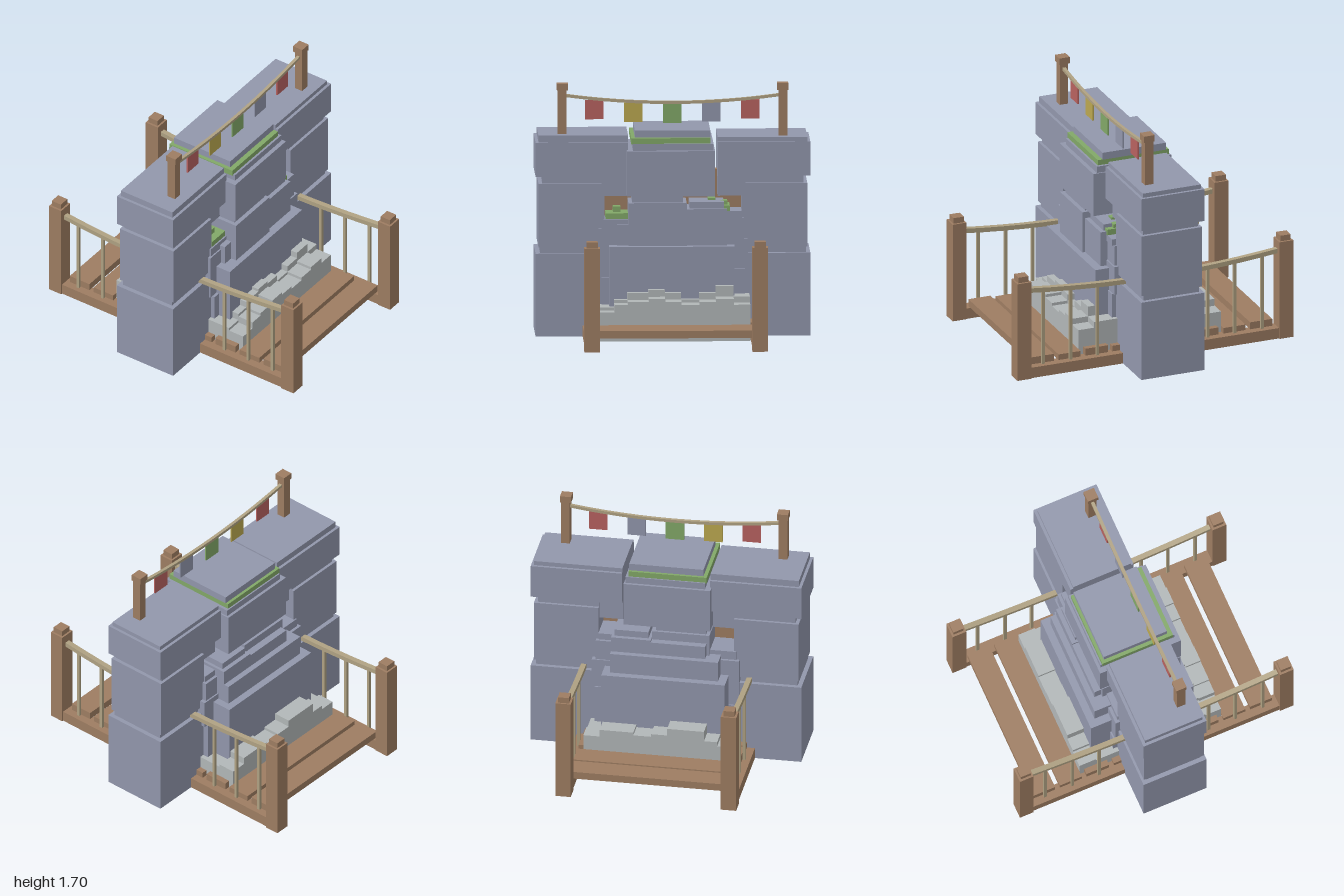
import * as THREE from 'three';

const mat = (name, color) => {
  const m = new THREE.MeshStandardMaterial({ color });
  m.name = name;
  return m;
};

export function createModel() {
  const stone = mat('blue grey stone', 0x9297ac);
  const wood = mat('brown wood', 0x9e7d62);
  const rubbleGrey = mat('pale rubble', 0xb2b7b8);
  const pale = mat('pale rope wood', 0xb0a283);
  const moss = mat('moss green', 0x82a868);
  const red = mat('red cloth', 0xb86260);
  const yellow = mat('yellow cloth', 0xbba850);

  const model = new THREE.Group();
  const group = (name) => {
    const g = new THREE.Group();
    g.name = name;
    model.add(g);
    return g;
  };
  // Box given by its extents on each axis
  const box = (parent, name, material, x0, x1, y0, y1, z0, z1) => {
    const mesh = new THREE.Mesh(new THREE.BoxGeometry(x1 - x0, y1 - y0, z1 - z0), material);
    mesh.position.set((x0 + x1) / 2, (y0 + y1) / 2, (z0 + z1) / 2);
    mesh.name = name;
    parent.add(mesh);
    return mesh;
  };
  // Square bar between two points
  const bar = (parent, name, material, a, b, w, h) => {
    const length = a.distanceTo(b) + 0.006;
    const mesh = new THREE.Mesh(new THREE.BoxGeometry(w, h, length), material);
    mesh.position.copy(a).add(b).multiplyScalar(0.5);
    mesh.lookAt(b);
    mesh.name = name;
    parent.add(mesh);
  };
  // Box mirrored across x
  const boxPair = (parent, name, material, x0, x1, ...rest) => {
    box(parent, name, material, x0, x1, ...rest);
    box(parent, name, material, -x1, -x0, ...rest);
  };

  // Gate pillars: stacked blocks around a recessed core
  const pillars = group('pillars');
  boxPair(pillars, 'lowerBlock', stone, 0.46, 0.92, 0, 0.56, -0.23, 0.23);
  boxPair(pillars, 'lowerJoint', stone, 0.48, 0.89, 0.56, 0.6, -0.2, 0.2);
  boxPair(pillars, 'middleBlock', stone, 0.46, 0.9, 0.6, 1.03, -0.22, 0.22);
  boxPair(pillars, 'upperJoint', stone, 0.46, 0.875, 1.03, 1.08, -0.2, 0.2);
  boxPair(pillars, 'upperBlock', stone, 0.3, 0.92, 1.08, 1.31, -0.23, 0.23);
  box(pillars, 'leftCapSlab', stone, 0.3, 0.9, 1.31, 1.34, -0.21, 0.21);
  box(pillars, 'rightCapSlab', stone, -0.9, -0.3, 1.31, 1.355, -0.21, 0.21);

  // Wooden gate and short lintels in the opening
  const gate = group('gate');
  box(gate, 'gatePanel', wood, -0.47, 0.47, 0.02, 1.1, -0.04, 0.04);
  boxPair(gate, 'lintel', stone, 0.3, 0.47, 0.94, 1.09, -0.18, 0.18);

  // Fallen boulders blocking the gate
  const boulders = group('boulders');
  [
    [-0.43, 0.41, 0, 0.62, -0.4, 0.35],
    [-0.375, 0.36, 0.62, 0.76, -0.35, 0.27],
    [-0.3, 0.09, 0.62, 0.91, -0.26, 0.31],
    [0.09, 0.36, 0.62, 0.865, -0.31, 0.29],
    [0.11, 0.34, 0.865, 0.91, -0.28, 0.26],
    [-0.28, 0.2, 0.76, 0.85, -0.31, 0.2],
    [-0.275, 0.065, 0.91, 0.96, -0.24, 0.28],
    [-0.31, 0.28, 0.955, 1.26, -0.28, 0.31],
    [-0.27, 0.27, 1.26, 1.305, -0.26, 0.28],
    [-0.255, 0.25, 1.34, 1.39, -0.23, 0.23],
    [-0.5, -0.3, 0.4, 0.73, -0.25, 0.24],
    [-0.48, -0.3, 0.73, 0.79, -0.23, 0.23],
    [-0.48, -0.3, 0, 0.4, -0.26, 0.26],
    [0.3, 0.5, 0.46, 0.66, -0.26, 0.25],
    [0.3, 0.475, 0.66, 0.8, -0.25, 0.24],
    [0.3, 0.46, 0.8, 0.845, -0.23, 0.25],
    [0.3, 0.48, 0, 0.46, -0.27, 0.26],
  ].forEach((b) => box(boulders, 'boulder', stone, ...b));

  // Moss patches on the ledges
  const mosses = group('mossPatches');
  [
    [-0.28, 0.25, 1.3, 1.342, -0.25, 0.265],
    [-0.45, -0.3, 0.79, 0.83, 0.05, 0.22],
    [-0.4, -0.35, 0.83, 0.87, 0.1, 0.17],
    [0.28, 0.38, 0.845, 0.885, 0.08, 0.25],
    [0.32, 0.365, 0.885, 0.91, 0.13, 0.2],
    [0.235, 0.285, 0.905, 0.925, 0.1, 0.18],
  ].forEach((b) => box(mosses, 'moss', moss, ...b));

  // Rubble steps in two rows on both sides
  const rubble = group('rubble');
  const edges = [-0.51, -0.4, -0.31, -0.17, -0.06, 0.05, 0.17, 0.28, 0.4, 0.51];
  const outer = [0.2, 0.25, 0.27, 0.29, 0.27, 0.25, 0.27, 0.29, 0.25];
  const inner = [0.22, 0.27, 0.315, 0.335, 0.315, 0.27, 0.315, 0.36, 0.29];
  const backOuter = [0.22, 0.25, 0.32, 0.32, 0.27, 0.25, 0.27, 0.27, 0.22];
  const backInner = [0.2, 0.23, 0.27, 0.27, 0.25, 0.23, 0.25, 0.27, 0.2];
  for (let i = 0; i < 9; i++) {
    const x = [edges[i], edges[i + 1]];
    box(rubble, 'rubbleBlock', rubbleGrey, ...x, 0.004, outer[i], 0.4, 0.515);
    box(rubble, 'rubbleBlock', rubbleGrey, ...x, 0.004, inner[i], 0.23, 0.4);
    box(rubble, 'rubbleBlock', rubbleGrey, ...x, 0.004, backOuter[i], -0.52, -0.4);
    box(rubble, 'rubbleBlock', rubbleGrey, ...x, 0.004, backInner[i], -0.4, -0.23);
  }

  // Bridge deck: side beams, cross planks and corner posts
  const bridge = group('bridge');
  boxPair(bridge, 'sideBeam', wood, 0.515, 0.605, 0, 0.075, -0.97, 0.97);
  [[0.71, 0.87, 0.125], [0.515, 0.675, 0.115], [0.315, 0.48, 0.125]].forEach(([z0, z1, top]) => {
    box(bridge, 'plank', wood, -0.55, 0.55, 0.075, top, z0, z1);
    box(bridge, 'plank', wood, -0.55, 0.55, 0.075, top, -z1 - 0.005, -z0 - 0.005);
  });
  boxPair(bridge, 'plankEnd', wood, 0.5, 0.55, 0.075, 0.115, -0.285, 0.285);
  for (const z of [-0.95, 0.95]) {
    boxPair(bridge, 'cornerPost', wood, 0.51, 0.615, 0, 0.7, z - 0.05, z + 0.05);
    boxPair(bridge, 'postCap', wood, 0.525, 0.6, 0.7, 0.74, z - 0.037, z + 0.037);
  }

  // Sagging handrails with thin balusters
  const railings = group('railings');
  const railY = (z) => 0.575 + 0.05 * (z / 0.9) ** 2;
  const railZ = [0.18, 0.34, 0.48, 0.62, 0.76, 0.91];
  for (const sx of [-1, 1]) for (const sz of [-1, 1]) {
    const x = sx * 0.563;
    for (let i = 0; i < 5; i++) {
      bar(railings, 'handrail', pale,
        new THREE.Vector3(x, railY(railZ[i]), sz * railZ[i]),
        new THREE.Vector3(x, railY(railZ[i + 1]), sz * railZ[i + 1]), 0.036, 0.032);
    }
    for (const z of [0.4, 0.595, 0.795]) {
      box(railings, 'baluster', pale, x - 0.01, x + 0.01, 0.07, railY(z), sz * z - 0.01, sz * z + 0.01);
    }
  }

  // Poles, hanging rope and flags above the gate
  const bunting = group('bunting');
  boxPair(bunting, 'pole', wood, 0.71, 0.77, 1.33, 1.65, 0.08, 0.14);
  boxPair(bunting, 'poleCap', wood, 0.7, 0.775, 1.65, 1.695, 0.072, 0.148);
  const ropeY = (x) => 1.563 + 0.05 * (x / 0.72) ** 2;
  for (let i = 0; i < 12; i++) {
    const x0 = -0.72 + i * 0.12;
    bar(bunting, 'rope', pale,
      new THREE.Vector3(x0, ropeY(x0), 0.11),
      new THREE.Vector3(x0 + 0.12, ropeY(x0 + 0.12), 0.11), 0.022, 0.02);
  }
  [red, yellow, moss, stone, red].forEach((cloth, i) => {
    const x = -0.523 + i * 0.261;
    const top = ropeY(x) - 0.008;
    box(bunting, 'flag', cloth, x - 0.0625, x + 0.0625, top - 0.13, top, 0.105, 0.115);
  });

  return model;
}
